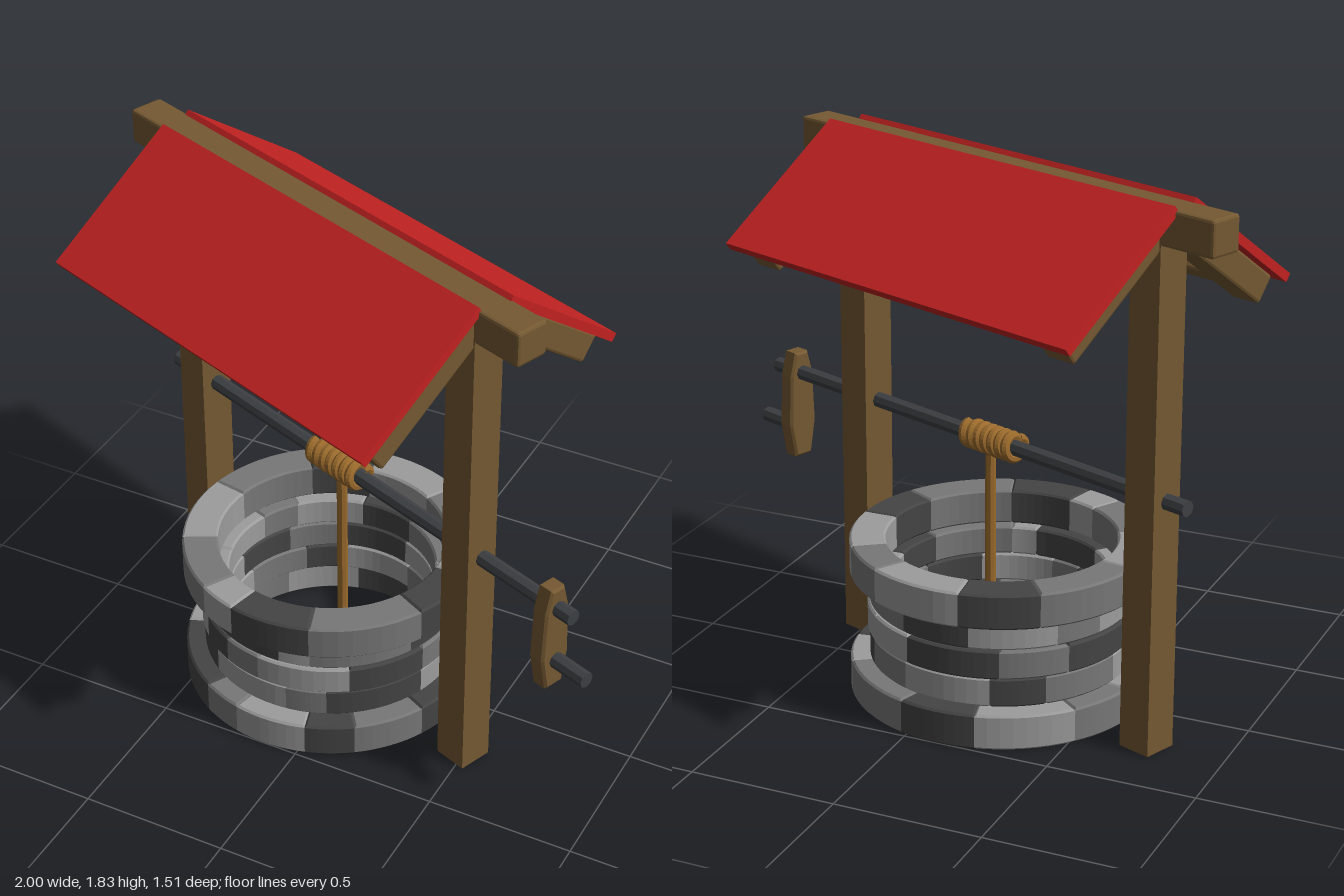
import * as THREE from 'three';
import { RoundedBoxGeometry } from 'three/addons/geometries/RoundedBoxGeometry.js';

const mat = (color) => new THREE.MeshStandardMaterial({ color, flatShading: true });
const wood = mat(0x755932), red = mat(0xc32222), rope = mat(0x9a6a2c), metal = mat(0x3d4043);
const greys = { d: mat(0x444444), m: mat(0x777777), l: mat(0x9c9c9c) };
const rad = THREE.MathUtils.degToRad;

function add(parent, name, geometry, material, x = 0, y = 0, z = 0) {
  const mesh = new THREE.Mesh(geometry, material);
  mesh.name = name;
  mesh.position.set(x, y, z);
  parent.add(mesh);
  return mesh;
}

const timber = (w, h, d) => new RoundedBoxGeometry(w, h, d, 1, 0.01);

// Round bar lying along x from x0 to x1
function bar(parent, name, x0, x1, y, r) {
  const g = new THREE.CylinderGeometry(r, r, x1 - x0, 8).rotateZ(Math.PI / 2);
  return add(parent, name, g, metal, (x0 + x1) / 2, y, 0);
}

// Curved, bevelled stone between two angles (0 faces +z, growing towards +x)
function stone(rIn, rOut, height, from, to) {
  const a = rad(from - 90), b = rad(to - 90), bevel = 0.007;
  const s = new THREE.Shape();
  s.absarc(0, 0, rOut, a, b, false);
  s.absarc(0, 0, rIn, b, a, true);
  s.closePath();
  const g = new THREE.ExtrudeGeometry(s, {
    depth: height - 2 * bevel, curveSegments: 4, bevelEnabled: true,
    bevelThickness: bevel, bevelSize: bevel, bevelOffset: -bevel, bevelSegments: 1,
  });
  return g.translate(0, 0, bevel).rotateX(-Math.PI / 2);
}

function buildWell() {
  const well = new THREE.Group();
  well.name = 'well';
  // Each course: base, height, inner and outer radius, start angle, stone widths, shades
  const courses = [
    [0, 0.12, 0.385, 0.505, -70, [41, 17, 29, 19, 28, 36, 24, 40, 30, 38, 26, 32], 'dmldmdlmdlml'],
    [0.12, 0.1, 0.35, 0.44, -72, [38, 41, 18, 45, 25, 36, 28, 40, 24, 37, 28], 'dlmdldmldml'],
    [0.22, 0.1, 0.35, 0.447, -56, [14, 18, 18, 41, 35, 28, 38, 25, 42, 30, 36, 35], 'ldmldmlldmdl'],
    [0.32, 0.1, 0.35, 0.44, -75, [35, 44, 14, 46, 30, 24, 40, 32, 38, 22, 35], 'ldlmdlmdlml'],
    [0.42, 0.12, 0.385, 0.505, -62, [33, 16, 32, 44, 28, 35, 24, 38, 30, 42, 38], 'mldmdlmldml'],
  ];
  courses.forEach(([y, h, rIn, rOut, start, widths, shades], i) => {
    const course = new THREE.Group();
    course.name = 'stoneCourse' + (i + 1);
    const scale = 360 / widths.reduce((sum, w) => sum + w, 0);
    let angle = start;
    widths.forEach((w, k) => {
      const next = angle + w * scale;
      add(course, 'stone', stone(rIn, rOut, h, angle, next), greys[shades[k]], 0, y, 0);
      angle = next;
    });
    well.add(course);
  });
  return well;
}

function buildRoof() {
  const roof = new THREE.Group();
  roof.name = 'roof';
  add(roof, 'ridgeBeam', timber(1.81, 0.12, 0.12), wood, -0.012, 1.75, 0);

  // Each slope runs along its own local z, with y = 0 on the top of its panel
  for (const side of [1, -1]) {
    const slope = new THREE.Group();
    slope.name = side > 0 ? 'frontSlope' : 'backSlope';
    const tilt = new THREE.Group();
    tilt.position.set(0, 1.825, 0.06);
    tilt.rotation.x = rad(36);
    const length = side > 0 ? 1.474 : 1.519;
    add(tilt, 'roofPanel', new THREE.BoxGeometry(length, 0.03, 0.57), red, -0.009 * side, -0.015, 0.285);
    for (const x of [-0.655, 0.655]) {
      add(tilt, 'rafter', timber(0.11, 0.1, 0.53), wood, x, -0.08, 0.275);
    }
    add(tilt, 'purlin', timber(1.22, 0.075, 0.075), wood, 0, -0.067, 0.48);
    slope.add(tilt);
    slope.rotation.y = side > 0 ? 0 : Math.PI;
    roof.add(slope);
  }
  return roof;
}

function buildWinch() {
  const winch = new THREE.Group();
  winch.name = 'winch';
  const axleY = 0.86;
  bar(winch, 'axle', -0.8, 1.115, axleY, 0.027);
  bar(winch, 'crankHandle', 1.0, 1.185, 0.655, 0.027);

  // Tapered crank arm, drawn in z and y and extruded along x
  const half = [[0.55, 0.036], [0.67, 0.058], [0.85, 0.05], [0.935, 0.028]];
  const outline = [
    ...half.map(([y, w]) => new THREE.Vector2(w, y)),
    ...half.slice().reverse().map(([y, w]) => new THREE.Vector2(-w, y)),
  ];
  const arm = new THREE.ExtrudeGeometry(new THREE.Shape(outline), {
    depth: 0.046, bevelEnabled: true, bevelSize: 0.008, bevelOffset: -0.008,
    bevelThickness: 0.008, bevelSegments: 1,
  });
  add(winch, 'crankArm', arm.translate(0, 0, -0.023).rotateY(Math.PI / 2), wood, 1.02, 0, 0);

  // Rope wound round the axle, with its free end hanging into the well
  const points = [];
  const turns = 7, steps = 12 * turns;
  for (let i = 0; i <= steps; i++) {
    const t = i / steps, a = t * turns * Math.PI * 2;
    points.push(new THREE.Vector3((t - 0.5) * 0.225, Math.cos(a) * 0.036, Math.sin(a) * 0.036));
  }
  const coil = new THREE.TubeGeometry(new THREE.CatmullRomCurve3(points), steps * 2, 0.017, 8);
  add(winch, 'ropeCoil', coil, rope, 0.04, axleY, 0);
  add(winch, 'hangingRope', new THREE.CylinderGeometry(0.018, 0.018, 0.81, 8), rope, 0.053, 0.435, 0);
  return winch;
}

export function createModel() {
  const model = new THREE.Group();
  model.name = 'wishingWell';

  // The timber frame stands turned about the well's axis
  const frame = new THREE.Group();
  frame.name = 'frame';
  frame.rotation.y = -rad(20.8);
  for (const x of [-0.655, 0.655]) {
    add(frame, 'post', new THREE.BoxGeometry(0.12, 1.72, 0.12), wood, x, 0.86, 0);
  }
  frame.add(buildRoof(), buildWinch());

  model.add(buildWell(), frame);
  model.children.forEach((part) => { part.position.x = -0.12; });
  return model;
}
